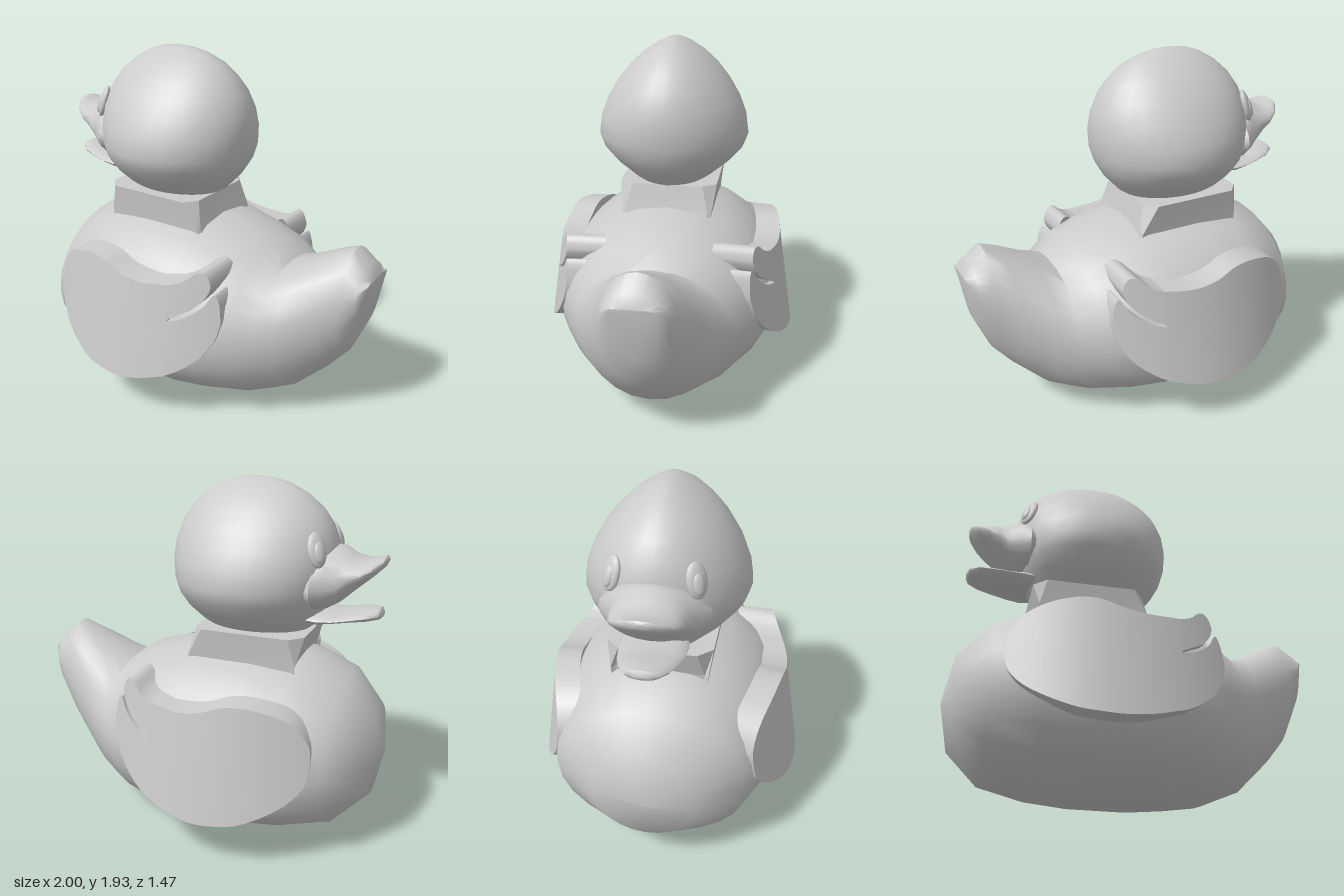
import * as THREE from 'three';
import { toCreasedNormals } from 'three/addons/utils/BufferGeometryUtils.js';

const grey = new THREE.MeshStandardMaterial({ color: 0xcccccc });

// Closed skin through rings of points, capped at both ends and always facing outwards.
function loft(name, rings, crease = 0.8) {
  const n = rings[0].length, pos = rings.flat(2), tris = [];
  for (let r = 0; r < rings.length - 1; r++) {
    for (let i = 0; i < n; i++) {
      const a = r * n + i, b = r * n + (i + 1) % n;
      tris.push([a, b, a + n], [b, b + n, a + n]);
    }
  }
  const last = (rings.length - 1) * n;
  for (let i = 1; i < n - 1; i++) tris.push([0, i + 1, i], [last, last + i, last + i + 1]);

  const p = (i) => new THREE.Vector3().fromArray(pos, i * 3);
  const volume = tris.reduce((v, [a, b, c]) => v + p(a).dot(p(b).cross(p(c))), 0);
  if (volume < 0) tris.forEach((t) => t.reverse());

  const geometry = new THREE.BufferGeometry();
  geometry.setAttribute('position', new THREE.Float32BufferAttribute(pos, 3));
  geometry.setIndex(tris.flat());
  const mesh = new THREE.Mesh(toCreasedNormals(geometry, crease), grey);
  mesh.name = name;
  return mesh;
}

// Smooth curve through rows of three numbers.
const smooth = (rows, count) => new THREE.CatmullRomCurve3(
  rows.map((r) => new THREE.Vector3(...r)), false, 'centripetal').getPoints(count).map((v) => v.toArray());

// Oval upright section at x: top, bottom, half width, and height of the widest point.
function section([x, top, bottom, w, mid = (top + bottom) / 2], n) {
  return Array.from({ length: n }, (_, i) => {
    const a = (i / n) * Math.PI * 2, s = Math.sin(a);
    return [x, mid + s * (s > 0 ? top - mid : mid - bottom), w * Math.cos(a)];
  });
}

// Curved slab between rows of [x, top, bottom]; bulges outwards and leans in at the top.
function wingSlab(name, rows, side, count) {
  const outer = (x, y) => 0.73 - 0.16 * (y - 0.28) - 0.52 * (x + 0.18) ** 2;
  const rings = smooth(rows, count).map(([x, top, bottom]) => {
    const depth = 0.14 + 0.08 * THREE.MathUtils.smoothstep(x, 0.08, 0.24);
    const zt = outer(x, top), zb = outer(x, bottom);
    return [
      [x, top, zt], [x, bottom, zb],
      [x, bottom + 0.01, zb - 0.15], [x, top + 0.01, zt - depth],
    ].map(([px, py, pz]) => [px, py, pz * side]);
  });
  return loft(name, rings, 0.6);
}

function wing(name, side) {
  const group = new THREE.Group();
  group.name = name;
  group.add(
    wingSlab('wingMain', [
      [-0.725, 0.605, 0.595], [-0.715, 0.69, 0.51], [-0.65, 0.79, 0.42], [-0.55, 0.85, 0.35],
      [-0.4, 0.885, 0.285], [-0.29, 0.88, 0.267], [-0.18, 0.84, 0.26], [-0.05, 0.82, 0.275], [0.12, 0.832, 0.325],
    ], side, 28),
    wingSlab('lowerFeather', [
      [0.12, 0.635, 0.325], [0.2, 0.66, 0.37], [0.29, 0.73, 0.445],
      [0.335, 0.8, 0.51], [0.36, 0.765, 0.56], [0.377, 0.66, 0.64],
    ], side, 14),
    wingSlab('upperFeather', [
      [0.12, 0.832, 0.645], [0.19, 0.86, 0.685], [0.24, 0.905, 0.715],
      [0.28, 0.912, 0.755], [0.305, 0.885, 0.795], [0.317, 0.845, 0.83],
    ], side, 12),
  );
  return group;
}

// Raised oval eye with a smaller pupil, turned to follow the head.
function eye(name, side) {
  const group = new THREE.Group();
  group.name = name;
  const add = (part, w, h, d, y, z) => {
    const mesh = new THREE.Mesh(new THREE.SphereGeometry(1, 20, 12), grey);
    mesh.name = part;
    mesh.scale.set(w, h, d);
    mesh.position.set(0, y, z);
    group.add(mesh);
  };
  add('eyeball', 0.055, 0.09, 0.025, 0, 0);
  add('pupil', 0.03, 0.055, 0.016, -0.015, 0.018);
  group.position.set(-0.625, 1.61, 0.2 * side);
  group.lookAt(-0.625 - 0.75, 1.61 + 0.3, (0.2 + 0.6) * side);
  return group;
}

export function createModel() {
  const model = new THREE.Group();
  model.name = 'duck';

  // Body with upturned tail: x, top, bottom, half width, widest height
  model.add(loft('body', [
    [-1, 0.51, 0.49, 0.01], [-0.95, 0.75, 0.25, 0.27, 0.5], [-0.78, 0.92, 0.09, 0.51, 0.5],
    [-0.53, 1.02, 0.03, 0.61, 0.48], [-0.3, 1.035, 0.008, 0.65, 0.48], [0.02, 1.035, 0.005, 0.65, 0.48],
    [0.22, 0.985, 0.02, 0.6, 0.49], [0.4, 0.93, 0.04, 0.51, 0.5], [0.51, 0.85, 0.085, 0.44, 0.51],
    [0.61, 0.89, 0.125, 0.37, 0.54], [0.78, 0.98, 0.29, 0.26, 0.64], [0.88, 1.02, 0.41, 0.2, 0.72],
    [0.96, 0.95, 0.6, 0.17, 0.8], [1, 0.89, 0.86, 0.12],
  ].map((s) => section(s, 24)), 0.9));

  // Faceted collar between body and head
  const collar = (y, x0, x1, x2, x3, z1, z2) => [
    [x0, y, -z2], [x1, y, -z1], [x2, y, -z1], [x3, y, -z2],
    [x3, y, z2], [x2, y, z1], [x1, y, z1], [x0, y, z2],
  ];
  model.add(loft('neck', [
    collar(0.93, -0.53, -0.55, 0.07, 0.08, 0.25, 0.22),
    collar(1.0, -0.535, -0.55, 0.05, 0.06, 0.255, 0.235),
    collar(1.15, -0.58, -0.51, -0.03, 0.025, 0.275, 0.2),
  ], 0.2));

  // Head: height, front x, back x, half width
  model.add(loft('head', [
    [1.13, -0.53, 0.0, 0.18], [1.17, -0.58, 0.06, 0.24], [1.25, -0.635, 0.135, 0.335], [1.33, -0.665, 0.18, 0.405],
    [1.4, -0.68, 0.2, 0.43], [1.5, -0.695, 0.21, 0.415], [1.6, -0.69, 0.2, 0.375], [1.7, -0.655, 0.165, 0.315],
    [1.78, -0.6, 0.11, 0.25], [1.85, -0.52, 0.04, 0.175], [1.9, -0.43, -0.05, 0.1],
    [1.925, -0.35, -0.13, 0.045], [1.937, -0.25, -0.24, 0.004],
  ].map(([y, x0, x1, w]) => Array.from({ length: 32 }, (_, i) => {
    const a = (i / 32) * Math.PI * 2;
    return [(x0 + x1) / 2 + (x1 - x0) / 2 * Math.cos(a), y, w * Math.sin(a)];
  }))));

  // Bill: upper half flares towards the cheeks, lower half is a flat tongue
  model.add(loft('upperBill', [
    [-0.948, 1.56, 1.54, 0.02], [-0.935, 1.57, 1.515, 0.08], [-0.89, 1.555, 1.47, 0.14],
    [-0.84, 1.55, 1.425, 0.17], [-0.78, 1.565, 1.37, 0.185], [-0.72, 1.605, 1.315, 0.2, 1.42],
    [-0.66, 1.61, 1.28, 0.245, 1.41], [-0.61, 1.57, 1.27, 0.28, 1.41], [-0.57, 1.5, 1.3, 0.26],
  ].map((s) => section(s, 20))));
  model.add(loft('lowerBill', [
    [-0.94, 1.275, 1.255, 0.03], [-0.925, 1.295, 1.24, 0.08], [-0.87, 1.295, 1.23, 0.125],
    [-0.78, 1.275, 1.22, 0.15], [-0.7, 1.26, 1.21, 0.165], [-0.62, 1.27, 1.19, 0.17], [-0.52, 1.26, 1.2, 0.15],
  ].map((s) => section(s, 16))));

  model.add(wing('nearWing', 1), wing('farWing', -1), eye('nearEye', 1), eye('farEye', -1));
  return model;
}
